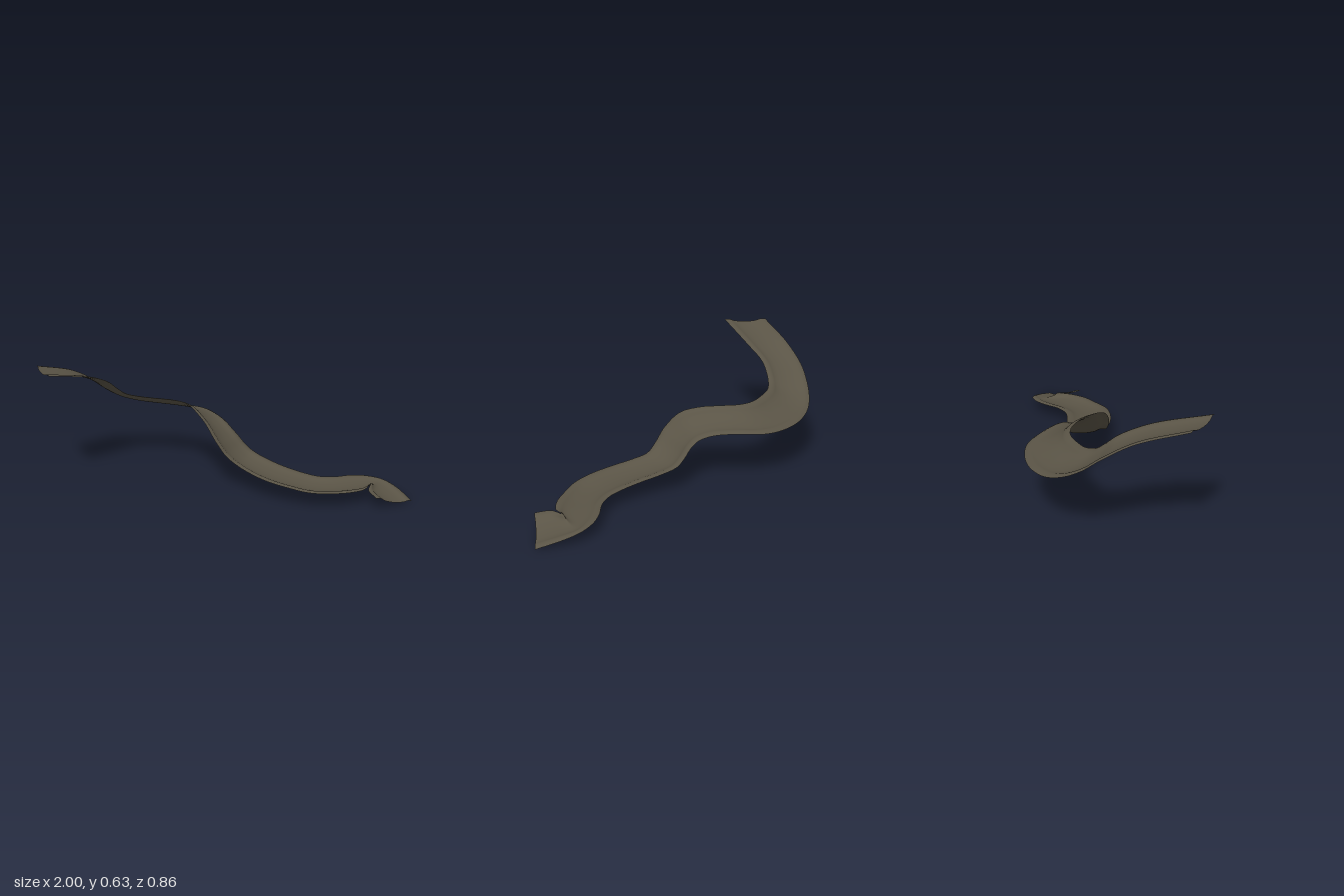
import * as THREE from 'three';

// Rim stations along the chute: back rim and front rim, as [x, y, z]
const BACK = [
  [-1, .633, .27], [-.94, .56, .03], [-.905, .475, -.12], [-.87, .41, -.2], [-.81, .355, -.28],
  [-.72, .315, -.355], [-.58, .295, -.415], [-.43, .29, -.43], [-.31, .295, -.405], [-.2, .3, -.325],
  [-.1, .29, -.245], [-.04, .265, -.205], [0, .235, -.195], [.05, .185, -.195], [.1, .152, -.195],
  [.2, .127, -.17], [.3, .112, -.145], [.42, .098, -.13], [.5, .09, -.135], [.57, .086, -.17],
  [.64, .083, -.24], [.71, .077, -.285], [.8, .065, -.303], [.89, .042, -.275], [.995, .003, -.205],
];
const FRONT = [
  [-.81, .63, .425], [-.73, .565, .15], [-.705, .505, 0], [-.685, .455, -.06], [-.66, .42, -.1],
  [-.61, .4, -.145], [-.52, .39, -.18], [-.43, .387, -.2], [-.35, .387, -.185], [-.27, .387, -.135],
  [-.18, .375, -.05], [-.1, .345, .015], [-.02, .265, .053], [.04, .195, .055], [.1, .152, .05],
  [.18, .13, .075], [.3, .112, .11], [.43, .1, .125], [.54, .088, .115], [.64, .082, .065],
  [.72, .082, .01], [.775, .083, -.06], [.787, .092, -.13], [.8, .084, -.055], [.86, .07, 0],
];

// Cross-section: fraction of the width, offset along the surface normal
const SECTION = [
  [0, 0], [.06, .003], [.12, .003], [.17, -.002], [.23, -.008], [.32, -.012], [.42, -.014], [.5, -.015],
  [.58, -.014], [.68, -.012], [.77, -.008], [.83, -.002], [.88, .003], [.94, .003], [1, 0],
];

const rimCurve = (points) =>
  new THREE.CatmullRomCurve3(points.map((p) => new THREE.Vector3(...p)));

// Sweeps the shallow trough section between the two rims
function chuteGeometry(steps) {
  const back = rimCurve(BACK), front = rimCurve(FRONT);
  const centre = (t) => back.getPoint(t).lerp(front.getPoint(t), .5);
  const positions = [], indices = [], n = SECTION.length;
  for (let i = 0; i <= steps; i++) {
    const t = i / steps;
    const a = back.getPoint(t), b = front.getPoint(t);
    const along = centre(Math.min(1, t + .004)).sub(centre(Math.max(0, t - .004)));
    const normal = b.clone().sub(a).cross(along).normalize();
    if (normal.y < 0) normal.negate();
    for (const [u, h] of SECTION) {
      positions.push(...a.clone().lerp(b, u).addScaledVector(normal, h).toArray());
    }
    if (i === steps) continue;
    for (let j = 0; j < n - 1; j++) {
      const p = i * n + j, q = p + n;
      indices.push(p, p + 1, q, q, p + 1, q + 1);
    }
  }
  const geometry = new THREE.BufferGeometry();
  geometry.setAttribute('position', new THREE.Float32BufferAttribute(positions, 3));
  geometry.setIndex(indices);
  geometry.computeVertexNormals();
  return geometry;
}

export function createModel() {
  const group = new THREE.Group();
  group.name = 'windingChute';
  const material = new THREE.MeshStandardMaterial({ color: 0x5a5446, side: THREE.DoubleSide });
  material.name = 'dark earth brown';
  const trough = new THREE.Mesh(chuteGeometry(192), material);
  trough.name = 'trough';
  group.add(trough);

  // Rest the lowest point on the ground and centre the footprint
  const box = new THREE.Box3().setFromObject(group);
  const middle = box.getCenter(new THREE.Vector3());
  trough.position.set(-middle.x, -box.min.y, -middle.z);
  return group;
}
